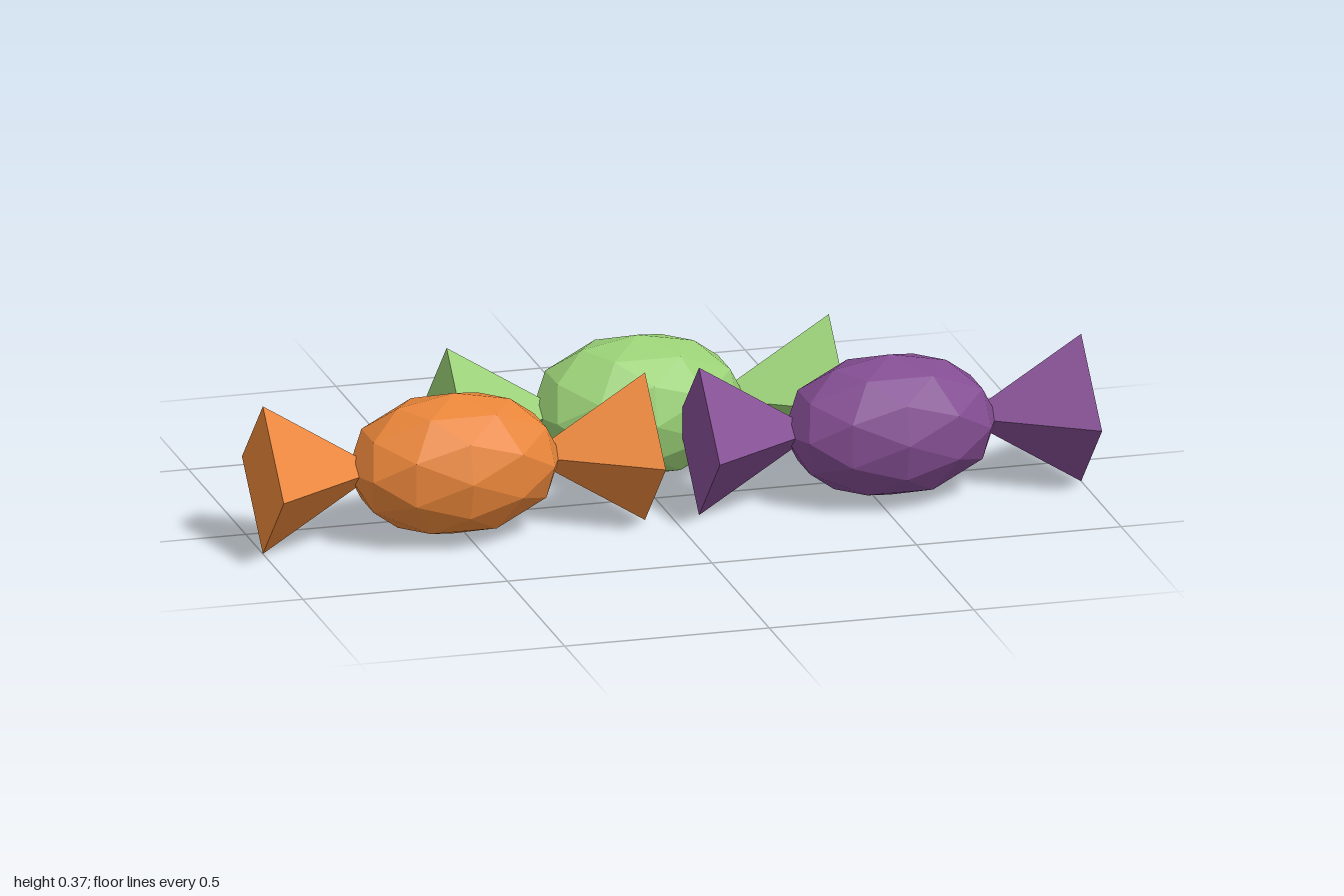
import * as THREE from 'three';

const RADIUS = 0.174;      // sweet body radius
const END = 0.467;         // distance from centre to the wrapper's open end
const TWIST_LENGTH = 0.29;
const TWIST_RADIUS = 0.183;

function createSweet(name, color, x, z) {
  const sweet = new THREE.Group();
  sweet.name = name;
  const material = new THREE.MeshStandardMaterial({ color, flatShading: true });

  // faceted oval body, stretched along x
  const bodyGeometry = new THREE.IcosahedronGeometry(RADIUS, 1);
  bodyGeometry.scale(1.5, 1, 1);
  const body = new THREE.Mesh(bodyGeometry, material);
  body.name = 'body';
  sweet.add(body);

  // four-sided wrapper twists, tips buried in the body
  for (const side of [-1, 1]) {
    const twist = new THREE.Mesh(new THREE.ConeGeometry(TWIST_RADIUS, TWIST_LENGTH, 4), material);
    twist.name = side > 0 ? 'leftTwist' : 'rightTwist';
    twist.rotation.z = side * Math.PI / 2;
    twist.position.x = side * (END - TWIST_LENGTH / 2);
    sweet.add(twist);
  }

  sweet.position.set(x, TWIST_RADIUS, z);
  return sweet;
}

export function createModel() {
  const model = new THREE.Group();
  model.name = 'wrappedSweets';
  model.add(
    createSweet('orangeSweet', 0xe8853a, -0.533, 0.15),
    createSweet('purpleSweet', 0x834d92, 0.533, 0.15),
    createSweet('greenSweet', 0x9ad076, 0, -0.15),
  );
  return model;
}
